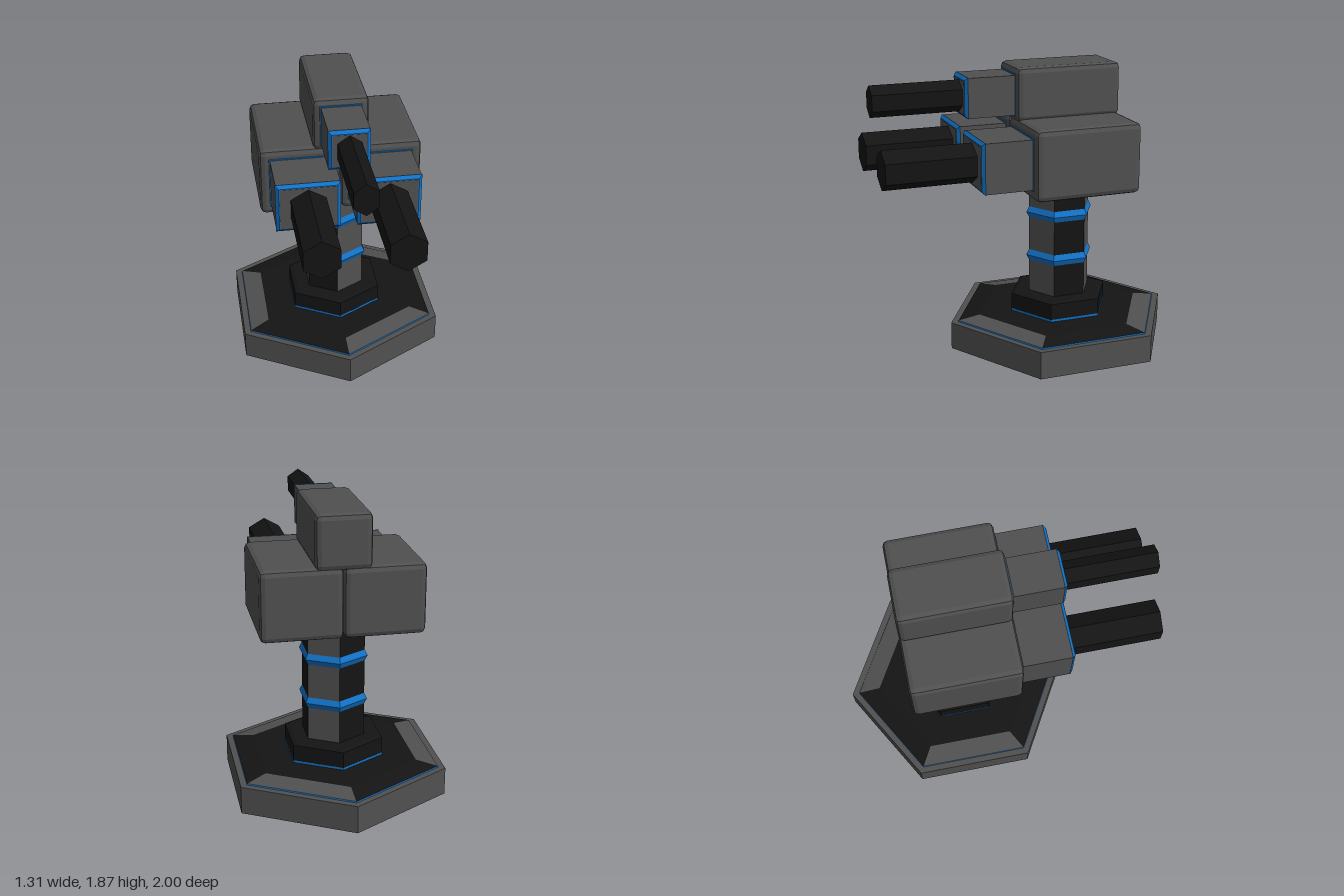
import * as THREE from 'three';
import { RoundedBoxGeometry } from 'three/addons/geometries/RoundedBoxGeometry.js';

const paint = (color) => new THREE.MeshStandardMaterial({ color, flatShading: true });
const grey = paint(0x505050);
const black = paint(0x141414);
const blue = paint(0x1273c8);

const AXIS_Z = -0.245; // centre line of base and column

function add(parent, name, geometry, material, x = 0, y = 0, z = 0) {
  const mesh = new THREE.Mesh(geometry, material);
  mesh.name = name;
  mesh.position.set(x, y, z);
  parent.add(mesh);
  return mesh;
}

// Hexagonal frustum standing between two heights, corners towards +z and -z
function hex(parent, name, rBottom, rTop, y0, y1, material) {
  return add(parent, name, new THREE.CylinderGeometry(rTop, rBottom, y1 - y0, 6), material, 0, (y0 + y1) / 2, AXIS_Z);
}

// Six hexagon sides, alternately grey and black
function stripedHex(parent, name, rBottom, rTop, y0, y1) {
  for (let i = 0; i < 6; i++) {
    const side = new THREE.CylinderGeometry(rTop, rBottom, y1 - y0, 1, 1, true, i * Math.PI / 3, Math.PI / 3);
    add(parent, name, side, i % 2 ? black : grey, 0, (y0 + y1) / 2, AXIS_Z);
  }
}

// Box from z0 to z1 whose front face is drawn in by an inset
function taperedBox(parent, name, halfW, halfH, z0, z1, inset, material, x, y) {
  const g = new THREE.BoxGeometry(2 * halfW, 2 * halfH, z1 - z0);
  const p = g.attributes.position;
  for (let i = 0; i < p.count; i++) {
    if (p.getZ(i) > 0) {
      p.setX(i, p.getX(i) - Math.sign(p.getX(i)) * inset);
      p.setY(i, p.getY(i) - Math.sign(p.getY(i)) * inset);
    }
  }
  return add(parent, name, g, material, x, y, (z0 + z1) / 2);
}

// Body block, barrel housing and hexagonal barrel
function gun(name, o) {
  const group = new THREE.Group();
  group.name = name;
  const body = new RoundedBoxGeometry(2 * o.bodyW, o.top - o.bottom, 0.695, 1, 0.035);
  add(group, 'bodyBlock', body, grey, o.bodyX, (o.top + o.bottom) / 2, -0.2425);

  taperedBox(group, 'bodyTrim', o.w + 0.019, o.h + 0.021, 0.09, 0.108, 0.015, blue, o.x, o.y);
  taperedBox(group, 'barrelHousing', o.w, o.h, 0.1, 0.412, 0, grey, o.x, o.y);
  taperedBox(group, 'muzzleTrim', o.w + 0.003, o.h + 0.003, 0.412, 0.43, 0.02, blue, o.x, o.y);
  taperedBox(group, 'housingFace', o.w - 0.022, o.h - 0.022, 0.42, 0.432, 0, grey, o.x, o.y);

  const barrel = new THREE.CylinderGeometry(1, 1, 0.6, 6);
  barrel.rotateX(Math.PI / 2);
  barrel.scale(o.barrelW / Math.sin(Math.PI / 3), o.barrelH, 1);
  add(group, 'barrel', barrel, black, o.x, o.y, 0.7);
  return group;
}

export function createModel() {
  const model = new THREE.Group();
  model.name = 'turret';

  // Base plate with bevelled deck
  const base = new THREE.Group();
  base.name = 'base';
  model.add(base);
  hex(base, 'basePlate', 0.755, 0.755, 0, 0.18, grey);
  hex(base, 'baseTrim', 0.71, 0.705, 0.175, 0.188, blue);
  stripedHex(base, 'deckBevel', 0.705, 0.56, 0.188, 0.21);
  hex(base, 'deck', 0.56, 0.56, 0.195, 0.21, black);
  hex(base, 'collarTrim', 0.334, 0.334, 0.205, 0.225, blue);
  hex(base, 'collar', 0.333, 0.333, 0.225, 0.33, black);
  hex(base, 'collarTop', 0.333, 0.3, 0.33, 0.34, black);

  // Column with two ridged bands
  const column = new THREE.Group();
  column.name = 'column';
  model.add(column);
  stripedHex(column, 'columnSide', 0.21, 0.21, 0.33, 1.12);
  for (const y of [0.59, 0.885]) {
    hex(column, 'bandLower', 0.208, 0.229, y - 0.04, y, blue);
    hex(column, 'bandUpper', 0.229, 0.208, y, y + 0.04, blue);
  }

  // Two lower guns and one above
  for (const side of [-1, 1]) {
    model.add(gun(side > 0 ? 'leftGun' : 'rightGun', {
      bodyX: side * 0.255, bodyW: 0.255, bottom: 1.09, top: 1.54,
      x: side * 0.248, y: 1.318, w: 0.196, h: 0.158, barrelW: 0.108, barrelH: 0.125,
    }));
  }
  model.add(gun('topGun', {
    bodyX: 0, bodyW: 0.174, bottom: 1.52, top: 1.865,
    x: 0, y: 1.688, w: 0.125, h: 0.126, barrelW: 0.073, barrelH: 0.1,
  }));

  return model;
}
